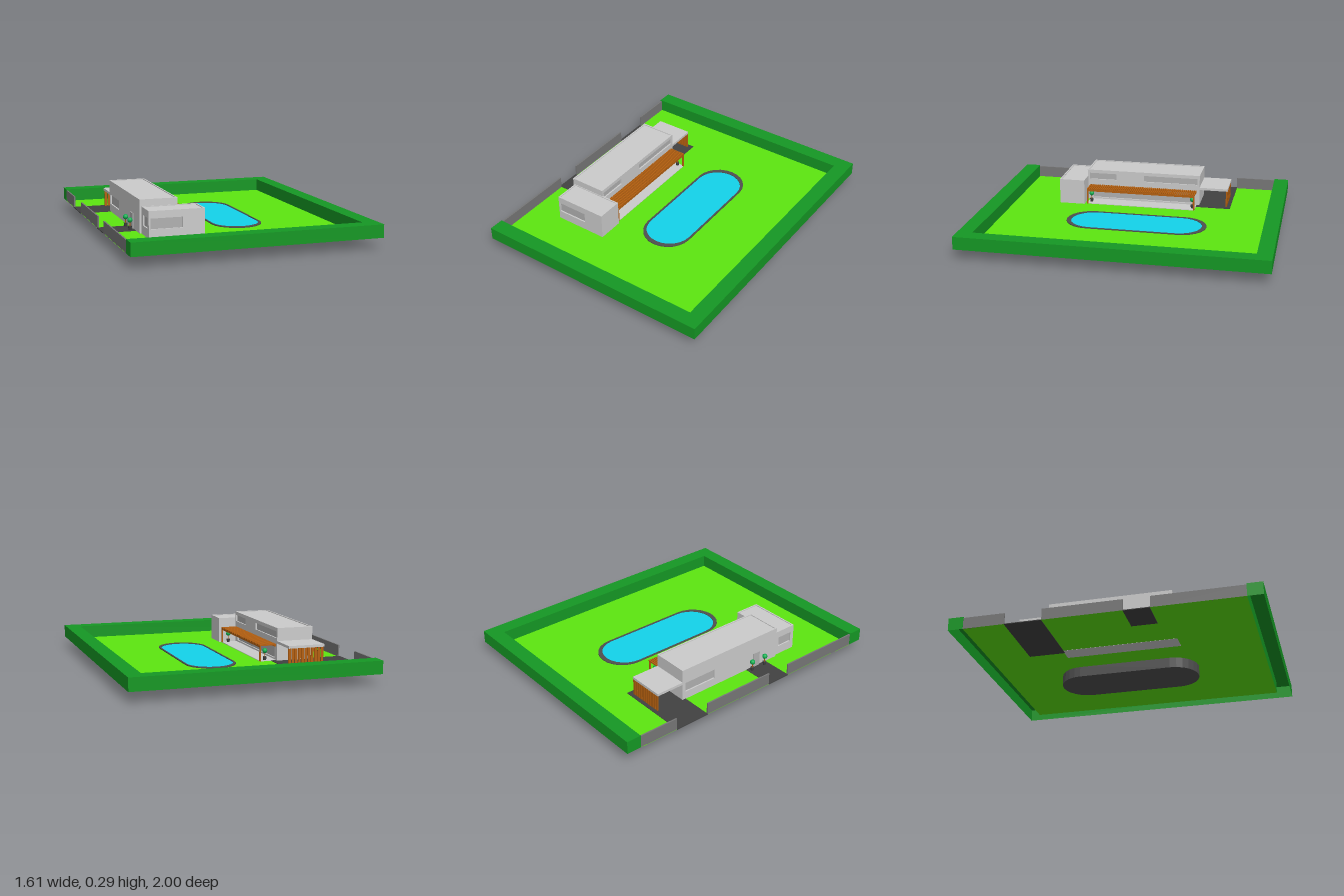
import * as THREE from 'three';

const G = 0.07; // ground level
const mat = (color) => new THREE.MeshStandardMaterial({ color, side: THREE.DoubleSide });
const M = {
  wall: mat(0xcccccc), pane: mat(0xb0b0b0), hedge: mat(0x159824), grass: mat(0x5ce610),
  dark: mat(0x424242), fence: mat(0x777777), wood: mat(0xb5600f), water: mat(0x13d3ea),
  pool: mat(0x505050), leaf: mat(0x10b050),
};

function add(parent, name, geometry, material, x = 0, y = 0, z = 0) {
  const m = new THREE.Mesh(geometry, material);
  m.name = name;
  m.position.set(x, y, z);
  parent.add(m);
  return m;
}

// box given by its limits on each axis
function box(parent, name, material, [x0, x1], [y0, y1], [z0, z1]) {
  return add(parent, name, new THREE.BoxGeometry(x1 - x0, y1 - y0, z1 - z0), material,
    (x0 + x1) / 2, (y0 + y1) / 2, (z0 + z1) / 2);
}

function group(parent, name) {
  const g = new THREE.Group();
  g.name = name;
  parent.add(g);
  return g;
}

function polygon(points, Type = THREE.Shape) {
  return new Type(points.map(([x, y]) => new THREE.Vector2(x, y)));
}

const rect = (a0, a1, b0, b1) => [[a0, b0], [a1, b0], [a1, b1], [a0, b1]];

// flat-roofed block: inset core, four outer walls with window openings and a low parapet
function block(parent, name, [x0, x1], [y0, y1], [z0, z1], windows = {}) {
  const g = group(parent, name), t = 0.01;
  box(g, 'roofSlab', M.wall, [x0 + t, x1 - t], [y1 - 0.02, y1 - 0.005], [z0 + t, z1 - t]);
  box(g, 'windowPanes', M.pane, [x0 + t, x1 - t], [y0, y1 - 0.02], [z0 + t, z1 - t]);
  for (const side of ['+x', '-x', '+z', '-z']) {
    const onX = side[1] === 'x';
    const shape = polygon(onX ? rect(z0, z1, y0, y1) : rect(x0, x1, y0, y1));
    for (const w of windows[side] || []) shape.holes.push(polygon(rect(...w), THREE.Path));
    const geo = new THREE.ExtrudeGeometry(shape, { depth: t, bevelEnabled: false });
    if (onX) geo.rotateY(-Math.PI / 2).translate(side === '+x' ? x1 : x0 + t, 0, 0);
    else geo.translate(0, 0, side === '+z' ? z1 - t : z0);
    add(g, 'wall', geo, M.wall);
  }
}

// outline with two round ends, long axis along z
function stadium(rx, half, Type = THREE.Shape) {
  const pts = [], n = 12, straight = half - rx;
  for (let end = 0; end < 2; end++)
    for (let i = 0; i <= n; i++) {
      const a = (i / n + end) * Math.PI;
      pts.push([rx * Math.cos(a), rx * Math.sin(a) + (end ? -straight : straight)]);
    }
  return polygon(pts, Type);
}

function ballPlant(parent, x, z) {
  const g = group(parent, 'pottedPlant');
  add(g, 'pot', new THREE.CylinderGeometry(0.013, 0.009, 0.025, 10), M.dark, x, G + 0.015, z);
  add(g, 'stem', new THREE.CylinderGeometry(0.003, 0.003, 0.04, 6), M.wood, x, G + 0.04, z);
  add(g, 'foliage', new THREE.SphereGeometry(0.017, 12, 8), M.leaf, x, G + 0.067, z);
}

export function createModel() {
  const model = new THREE.Group();
  model.name = 'houseWithGarden';

  // lawn with an opening for the pool
  const poolX = 0.1, poolZ = -0.037;
  const lawn = polygon(rect(-0.805, 0.705, -0.9, 0.9));
  const opening = stadium(0.16, 0.47, THREE.Path).getPoints().map((p) => [p.x + poolX, p.y - poolZ]);
  lawn.holes.push(polygon(opening, THREE.Path));
  add(model, 'lawn', new THREE.ShapeGeometry(lawn).rotateX(-Math.PI / 2), M.grass, 0, G, 0);

  // hollow hedge on three sides
  const hedge = group(model, 'hedge'), hTop = 0.155;
  const outline = [[-0.805, -1], [0.805, -1], [0.805, 1], [-0.805, 1],
    [-0.805, 0.9], [0.705, 0.9], [0.705, -0.9], [-0.805, -0.9]];
  add(hedge, 'hedgeTop', new THREE.ShapeGeometry(polygon(outline)).rotateX(-Math.PI / 2), M.hedge, 0, hTop, 0);
  outline.forEach(([x, z], i) => {
    const [x2, z2] = outline[(i + 1) % outline.length];
    const side = add(hedge, 'hedgeSide', new THREE.PlaneGeometry(Math.hypot(x2 - x, z2 - z), hTop - G),
      M.hedge, (x + x2) / 2, (hTop + G) / 2, (z + z2) / 2);
    side.rotation.y = Math.atan2(z - z2, x2 - x);
  });

  // street wall with gaps for the driveways
  for (const z of [[-0.9, -0.625], [-0.38, 0.14], [0.31, 0.9]])
    box(model, 'streetWall', M.fence, [-0.803, -0.793], [G, 0.148], z);

  // paving
  const paving = [G - 0.002, G + 0.003];
  box(model, 'driveway', M.dark, [-0.806, -0.31], paving, [-0.625, -0.38]);
  box(model, 'entrancePath', M.dark, [-0.806, -0.585], paving, [0.14, 0.31]);
  box(model, 'terrace', M.wall, [-0.345, -0.23], [G - 0.001, G + 0.004], [-0.385, 0.385]);

  // pool
  const pool = group(model, 'pool');
  pool.position.set(poolX, 0, poolZ);
  const shell = stadium(0.167, 0.478);
  shell.holes.push(stadium(0.155, 0.448, THREE.Path));
  const flat = (shape, depth) =>
    new THREE.ExtrudeGeometry(shape, { depth, bevelEnabled: false }).rotateX(-Math.PI / 2);
  add(pool, 'poolWall', flat(shell, G + 0.006), M.pool);
  add(pool, 'poolFloor', flat(stadium(0.16, 0.46), 0.006), M.pool);
  add(pool, 'water', new THREE.ShapeGeometry(stadium(0.157, 0.452)).rotateX(-Math.PI / 2), M.water, 0, G + 0.002, 0);

  // house
  const house = group(model, 'house'), base = G + 0.001;
  block(house, 'mainBlock', [-0.592, -0.343], [base, 0.289], [-0.405, 0.405], {
    '+x': [[0.195, 0.39, 0.22, 0.265], [-0.388, -0.005, 0.22, 0.265], [-0.36, 0.36, 0.085, 0.16]],
    '-x': [[-0.38, -0.14, 0.125, 0.19]],
  });
  block(house, 'frontWing', [-0.58, -0.216], [base, 0.245], [0.4, 0.577], {
    '+z': [[-0.57, -0.36, 0.13, 0.198]],
    '-x': [[0.44, 0.55, 0.13, 0.198]],
  });
  box(house, 'entranceDoor', M.pane, [-0.599, -0.59], [base, 0.174], [0.195, 0.25]);

  // carport with a slatted rear screen
  const carport = group(house, 'carport');
  box(carport, 'carportRoof', M.wall, [-0.592, -0.343], [0.186, 0.203], [-0.603, -0.4]);
  for (let i = 0; i < 11; i++) {
    const x = -0.585 + i * 0.0225;
    box(carport, 'screenSlat', M.wood, [x, x + 0.017], [base, 0.187], [-0.6, -0.592]);
  }

  // pergola over the terrace
  const pergola = group(house, 'pergola');
  for (const x of [-0.343, -0.238])
    box(pergola, 'rail', M.wood, [x, x + 0.009], [0.163, 0.175], [-0.385, 0.385]);
  for (const z of [-0.385, 0.376])
    box(pergola, 'post', M.wood, [-0.238, -0.229], [base, 0.175], [z, z + 0.009]);
  const slats = 56;
  for (let i = 0; i < slats; i++) {
    const z = -0.385 + (i / (slats - 1)) * 0.761;
    box(pergola, 'slat', M.wood, [-0.343, -0.228], [0.172, 0.181], [z, z + 0.009]);
  }

  // plants by the door and on the terrace
  for (const [x, z] of [[-0.622, 0.165], [-0.622, 0.275], [-0.272, -0.365], [-0.272, 0.36]])
    ballPlant(model, x, z);

  return model;
}
